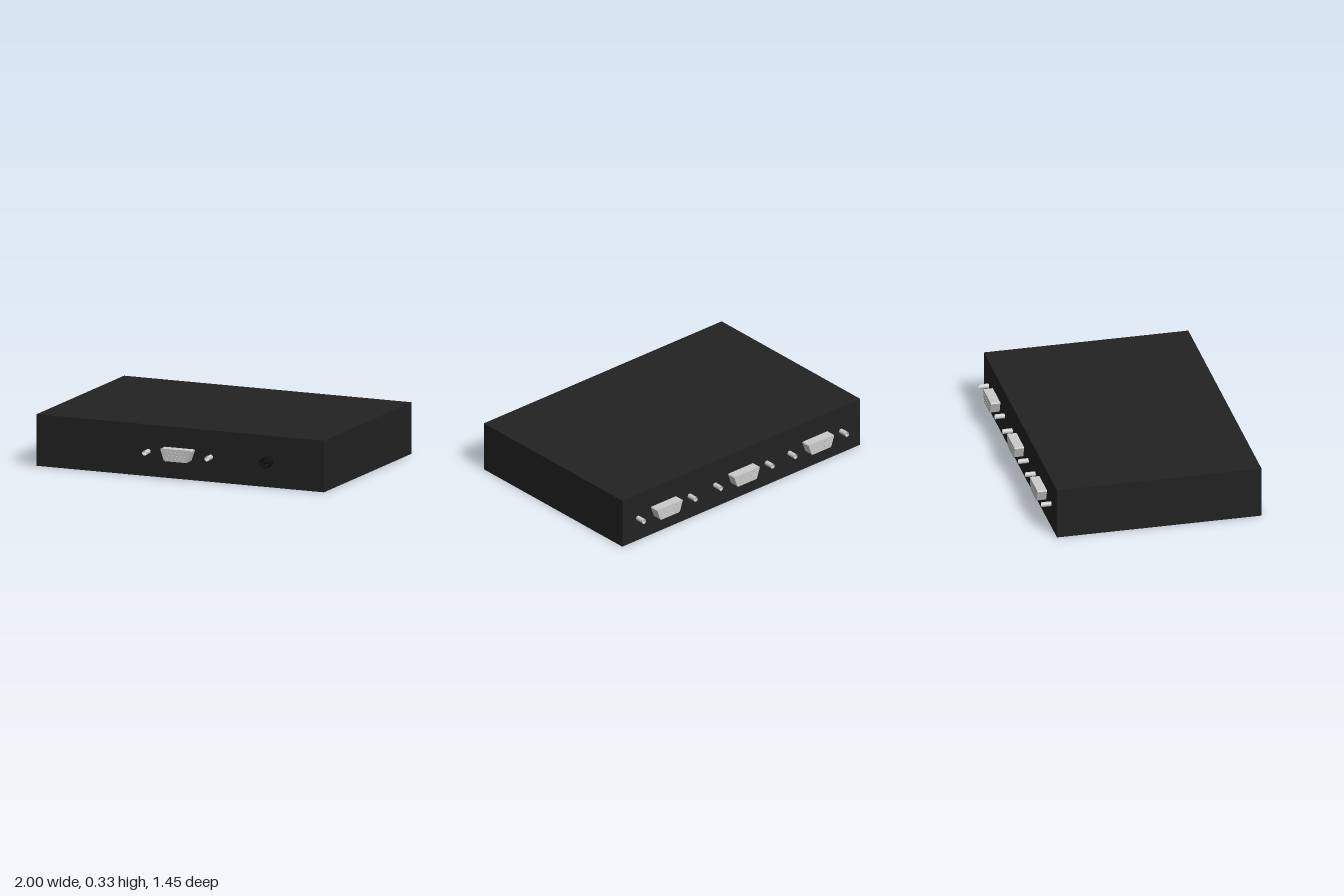
import * as THREE from 'three';

const BODY_Z = 0.665, PROTRUDE = 0.062, PORT_Y = 0.16;

const metal = new THREE.MeshStandardMaterial({ color: 0xcccccc });
const metalThin = new THREE.MeshStandardMaterial({ color: 0xcccccc, side: THREE.DoubleSide });
const casing = new THREE.MeshStandardMaterial({ color: 0x222222 });
const plastic = new THREE.MeshStandardMaterial({ color: 0x111111, side: THREE.DoubleSide });

function part(name, geometry, material, x = 0, y = 0, z = 0) {
  const mesh = new THREE.Mesh(geometry, material);
  mesh.name = name;
  mesh.position.set(x, y, z);
  return mesh;
}

// Trapezoid plug with rounded-off corners and three rows of five pin holes
function connectorGeometry() {
  const s = new THREE.Shape([
    [-0.075, -0.04], [0.075, -0.04], [0.083, -0.034], [0.107, 0.034],
    [0.103, 0.04], [-0.103, 0.04], [-0.107, 0.034], [-0.083, -0.034],
  ].map(([x, y]) => new THREE.Vector2(x, y)));
  [[0.02, -0.004], [0, 0.008], [-0.02, -0.004]].forEach(([y, shift]) => {
    for (let i = -2; i <= 2; i++) {
      const hole = new THREE.Path();
      hole.absarc(i * 0.028 + shift, y, 0.004, 0, Math.PI * 2, true);
      s.holes.push(hole);
    }
  });
  return new THREE.ExtrudeGeometry(s, { depth: PROTRUDE, bevelEnabled: false, curveSegments: 4 });
}

// Open sleeve pointing along +z
function sleeveGeometry(radius) {
  return new THREE.CylinderGeometry(radius, radius, PROTRUDE, 20, 1, true)
    .rotateX(Math.PI / 2).translate(0, 0, PROTRUDE / 2);
}

const plugGeo = connectorGeometry();
const screwGeo = sleeveGeometry(0.016);

// Video port: plug flanked by two screw sleeves
function videoPort(name, x) {
  const port = new THREE.Group();
  port.name = name;
  port.position.set(x, PORT_Y, BODY_Z);
  port.add(part('plug', plugGeo, metal));
  port.add(part('screwLeft', screwGeo, metalThin, 0.217));
  port.add(part('screwRight', screwGeo, metalThin, -0.217));
  return port;
}

// Hollow barrel with a centre pin
function powerJack() {
  const jack = new THREE.Group();
  jack.name = 'powerJack';
  jack.position.set(0.614, 0.167, BODY_Z);
  const profile = [[0.035, 0], [0.035, PROTRUDE], [0.029, PROTRUDE], [0.029, 0]]
    .map(([r, h]) => new THREE.Vector2(r, h));
  // Separate walls keep the rim edges crisp
  for (let i = 0; i < 3; i++) {
    const wall = new THREE.LatheGeometry([profile[i], profile[i + 1]], 28).rotateX(Math.PI / 2);
    jack.add(part('barrel', wall, plastic));
  }
  const pin = new THREE.CylinderGeometry(0.011, 0.011, PROTRUDE - 0.004, 16)
    .rotateX(Math.PI / 2).translate(0, 0, PROTRUDE / 2 - 0.002);
  jack.add(part('pin', pin, plastic));
  return jack;
}

export function createModel() {
  const model = new THREE.Group();
  model.name = 'videoSplitter';

  model.add(part('casing', new THREE.BoxGeometry(2, 0.333, BODY_Z * 2), casing, 0, 0.1665, 0));

  // Front panel
  const front = new THREE.Group();
  front.name = 'frontPanel';
  front.add(videoPort('inputPort', -0.004), powerJack());

  // Back panel, turned to face -z
  const back = new THREE.Group();
  back.name = 'backPanel';
  back.rotation.y = Math.PI;
  [-0.652, -0.004, 0.621].forEach((x, i) => back.add(videoPort('outputPort' + (i + 1), x)));

  model.add(front, back);
  return model;
}
